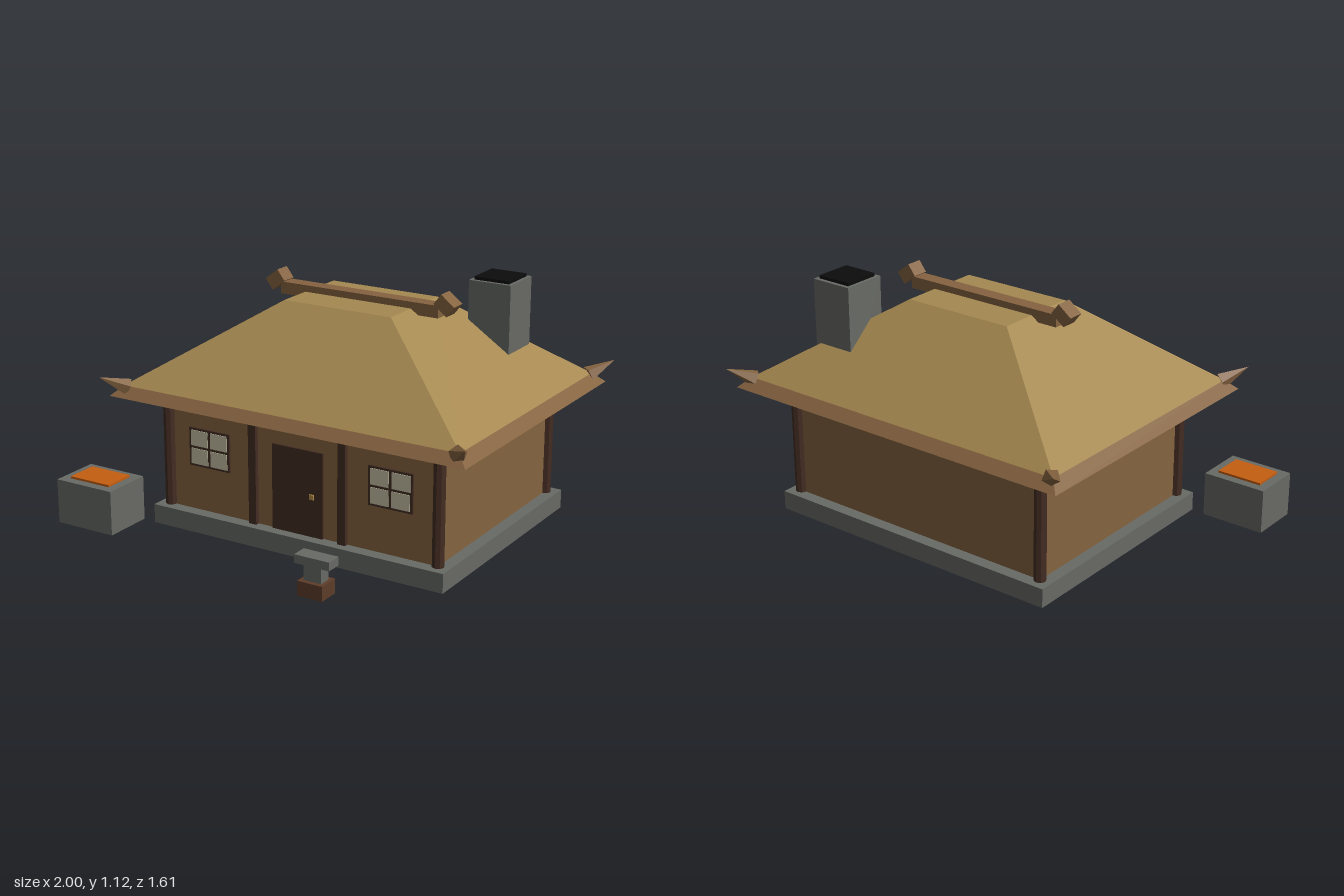
import * as THREE from 'three';

const material = (name, color, extra = {}) =>
  Object.assign(new THREE.MeshStandardMaterial({ color, ...extra }), { name });

export function createModel() {
  const model = new THREE.Group();
  model.name = 'cottage';

  const stone = material('stone', 0x686a65);
  const wood = material('wood', 0x856340);
  const timber = material('dark timber', 0x432c22);
  const thatch = material('thatch', 0xa58850);
  const soot = material('soot', 0x0c0c0c);
  const ember = material('ember', 0xc55e10);
  const green = material('green sign', 0x336848);
  const pane = material('window pane', 0xc4bfa6);
  const clay = material('brown clay', 0x5e3c28);
  const brass = material('brass', 0xb08d4a);

  const add = (name, geometry, mat, parent = model) => {
    const mesh = new THREE.Mesh(geometry, mat);
    mesh.name = name;
    parent.add(mesh);
    return mesh;
  };
  // Box given by its extents on each axis
  const box = (name, mat, [x0, x1], [y0, y1], [z0, z1], parent = model) => {
    const mesh = add(name, new THREE.BoxGeometry(x1 - x0, y1 - y0, z1 - z0), mat, parent);
    mesh.position.set((x0 + x1) / 2, (y0 + y1) / 2, (z0 + z1) / 2);
    return mesh;
  };
  // Box whose top face is moved to its own extents
  const frustum = (name, mat, bottom, top, y0, y1) => {
    const geo = new THREE.BoxGeometry(1, 1, 1);
    const p = geo.attributes.position;
    for (let i = 0; i < p.count; i++) {
      const [x0, x1, z0, z1] = p.getY(i) > 0 ? top : bottom;
      p.setXYZ(i, p.getX(i) > 0 ? x1 : x0, p.getY(i) > 0 ? y1 : y0, p.getZ(i) > 0 ? z1 : z0);
    }
    geo.computeVertexNormals();
    return add(name, geo, mat);
  };

  // House body
  const cx = 0.1, cz = -0.088;
  box('foundation', stone, [-0.635, 0.835], [0, 0.087], [-0.652, 0.478]);
  box('walls', wood, [-0.58, 0.78], [0.087, 0.6], [-0.595, 0.42]);
  box('frontBackBeam', timber, [-0.58, 0.78], [0.548, 0.6], [-0.607, 0.432]);
  box('sideBeam', timber, [-0.592, 0.792], [0.548, 0.6], [-0.595, 0.42]);

  // Corner posts and the two slimmer front posts
  for (const x of [-0.58, 0.78]) for (const z of [-0.595, 0.42]) {
    const post = add('cornerPost', new THREE.CylinderGeometry(0.027, 0.027, 0.513, 8), timber);
    post.material.flatShading = true;
    post.position.set(x, 0.3435, z);
  }
  for (const x of [-0.128, 0.324]) {
    box('frontPost', timber, [x - 0.019, x + 0.019], [0.087, 0.6], [0.41, 0.44]);
  }

  // Door, knob and sign board
  box('door', timber, [-0.03, 0.225], [0.087, 0.475], [0.41, 0.43]);
  box('doorKnob', brass, [0.162, 0.184], [0.26, 0.282], [0.43, 0.438]);
  box('signBoard', green, [-0.11, 0.3], [0.552, 0.597], [0.43, 0.463]);

  // Windows with four panes each
  for (const x of [-0.36, 0.555]) {
    const win = new THREE.Group();
    win.name = 'window';
    win.position.set(x, 0.382, 0);
    model.add(win);
    box('windowFrame', timber, [-0.106, 0.106], [-0.088, 0.088], [0.41, 0.43], win);
    for (const sx of [-1, 1]) for (const sy of [-1, 1]) {
      const glass = box('windowPane', pane, [-0.044, 0.044], [-0.036, 0.036], [0.428, 0.433], win);
      glass.position.x = sx * 0.051;
      glass.position.y = sy * 0.042;
    }
  }

  // Roof: sloping wooden eave and flat-topped thatch
  const eaveTop = [-0.735, 0.93, -0.718, 0.537];
  frustum('eave', wood, [-0.782, 0.978, -0.767, 0.582], eaveTop, 0.6, 0.645);
  frustum('thatchRoof', thatch, eaveTop, [-0.17, 0.366, -0.293, 0.112], 0.645, 1.015);

  // Ridge beam with upturned ends
  box('ridgeBeam', wood, [-0.3, 0.5], [0.99, 1.045], [-0.124, -0.056]);
  for (const s of [-1, 1]) {
    const end = add('ridgeEnd', new THREE.BoxGeometry(0.08, 0.06, 0.076), wood);
    end.position.set(cx + s * 0.428, 1.05, -0.09);
    end.rotation.z = -s * 0.66 + (s > 0 ? Math.PI / 2 : -Math.PI / 2) * 2;
  }

  // Pointed corner horns, leaning out and up
  const hornWood = wood;
  hornWood.flatShading = true;
  const up = new THREE.Vector3(0, 1, 0);
  for (const sx of [-1, 1]) for (const sz of [-1, 1]) {
    const base = new THREE.Vector3(cx + sx * 0.818, 0.637, cz + sz * 0.62);
    const tip = new THREE.Vector3(cx + sx * 0.9, 0.695, cz + sz * 0.717);
    const dir = tip.clone().sub(base);
    const horn = add('roofHorn', new THREE.ConeGeometry(0.04, dir.length(), 5), hornWood);
    horn.position.copy(base).addScaledVector(dir, 0.5);
    horn.quaternion.setFromUnitVectors(up, dir.normalize());
  }

  // Chimney
  box('chimney', stone, [0.503, 0.705], [0.65, 1.102], [-0.53, -0.326]);
  box('chimneyOpening', soot, [0.52, 0.688], [1.1, 1.116], [-0.512, -0.343]);

  // Fire pit beside the house
  box('firePit', stone, [-1, -0.7], [0, 0.205], [0.47, 0.705]);
  box('embers', ember, [-0.957, -0.743], [0.2, 0.215], [0.512, 0.663]);

  // Small stone stand in front
  box('standBase', clay, [0.34, 0.46], [0, 0.066], [0.705, 0.806]);
  box('standStem', stone, [0.357, 0.443], [0.066, 0.135], [0.73, 0.785]);
  box('standTop', stone, [0.318, 0.485], [0.135, 0.173], [0.72, 0.793]);

  return model;
}
